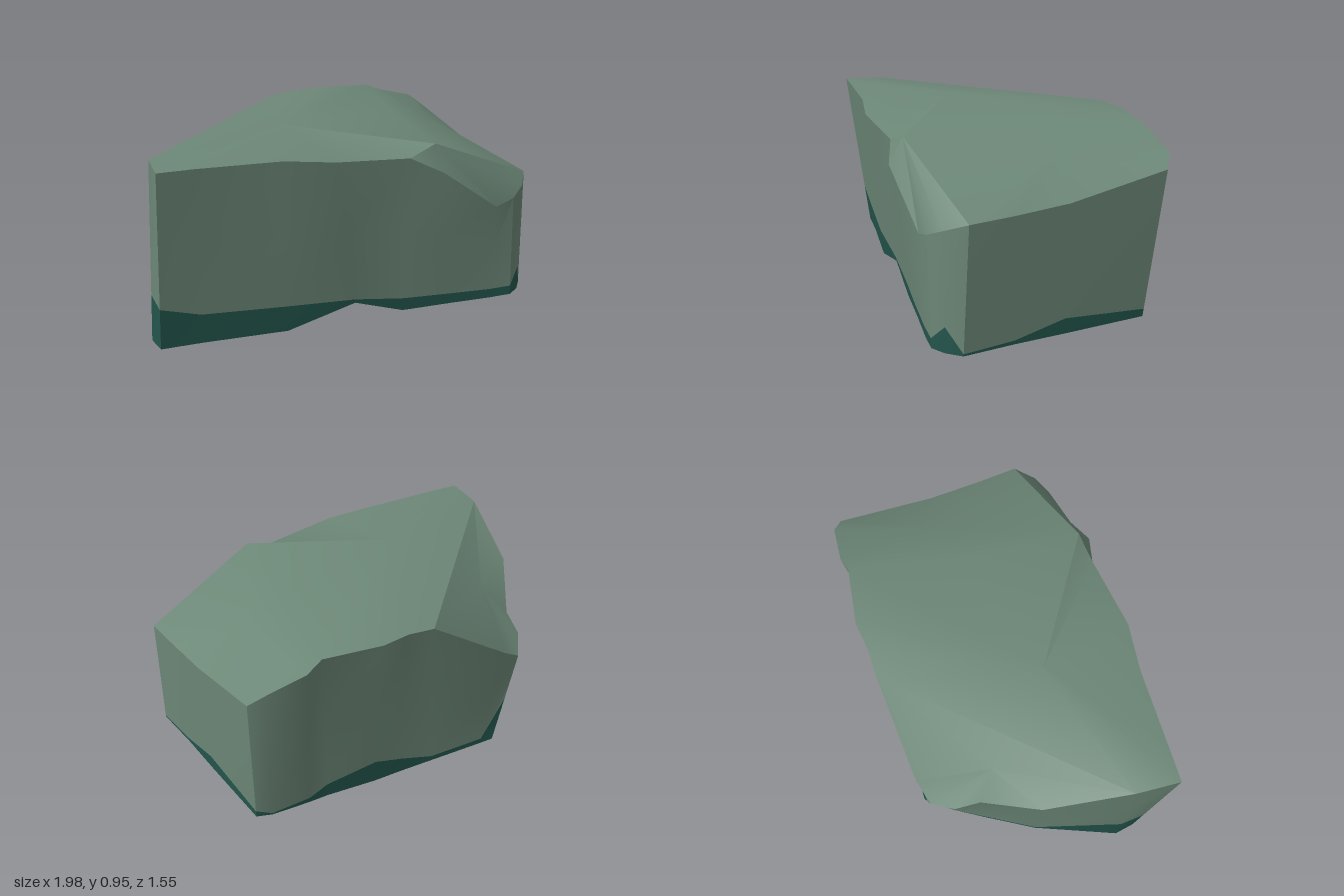
import * as THREE from 'three';
import { toCreasedNormals } from 'three/addons/utils/BufferGeometryUtils.js';

// Stations around the boulder, anticlockwise from the front left corner:
// rim x, y, z, foot x, z
const stations = [
  [-0.92, 0.925, 0.77, -0.95, 0.66],
  [-0.75, 0.925, 0.74, -0.75, 0.63],
  [-0.35, 0.915, 0.67, -0.33, 0.585],
  [-0.1, 0.89, 0.655, 0.02, 0.52],
  [0.28, 0.85, 0.535, 0.28, 0.47],
  [0.45, 0.77, 0.55, 0.55, 0.435],
  [0.77, 0.53, 0.43, 0.77, 0.41],
  [0.87, 0.56, 0.4, 0.89, 0.39],
  [0.94, 0.6, 0.33, 0.95, 0.33],
  [0.99, 0.64, 0.22, 0.99, 0.25],
  [0.92, 0.65, 0.0, 0.9, 0.0],
  [0.84, 0.67, -0.26, 0.82, -0.25],
  [0.7, 0.77, -0.75, 0.68, -0.67],
  [0.62, 0.83, -0.78, 0.6, -0.68],
  [0.42, 0.88, -0.75, 0.4, -0.65],
  [0.34, 0.92, -0.71, 0.3, -0.63],
  [0.04, 0.92, -0.69, 0.04, -0.6],
  [-0.1, 0.92, -0.64, -0.12, -0.57],
  [-0.24, 0.905, -0.61, -0.3, -0.54],
  [-0.7, 0.58, -0.48, -0.6, -0.49],
  [-0.81, 0.5, -0.42, -0.68, -0.475],
  [-0.86, 0.56, -0.3, -0.76, -0.32],
  [-0.85, 0.61, -0.17, -0.82, -0.15],
  [-0.95, 0.77, 0.12, -0.91, 0.12],
  [-0.95, 0.92, 0.55, -0.99, 0.56],
];
// Height of the dark band at each station
const bandHeight = [0.23, 0.17, 0.15, 0.12, 0.08, 0.07, 0.06, 0.06, 0.14, 0.02, 0.03, 0.09, 0.05,
  0.02, 0.04, 0.09, 0.15, 0.1, 0.04, 0.04, 0.25, 0.05, 0.04, 0.04, 0.25];
const notch = 3; // station where the front foot is lifted

const rim = stations.map(([x, y, z]) => [x, y, z]);
const foot = stations.map((s, i) => [s[3], i === notch ? 0.1 : 0.01, s[4]]);
const mix = (a, b, t) => a.map((v, k) => v + (b[k] - v) * t);
const band = foot.map((p, i) => mix(p, rim[i], (bandHeight[i] - p[1]) / (rim[i][1] - p[1])));
const middle = band.map((p, i) => mix(p, rim[i], 0.5));

// Wall between two closed rings
function wall(lower, upper) {
  return lower.flatMap((a, i) => {
    const j = (i + 1) % lower.length;
    return [a, lower[j], upper[j], a, upper[j], upper[i]];
  });
}

// Fan of triangles from a centre point along an open line
function openFan(centre, line) {
  return line.slice(1).flatMap((p, i) => [centre, line[i], p]);
}
const fan = (centre, loop) => openFan(centre, [...loop, loop[0]]);

function makePart(name, points, material) {
  const geometry = new THREE.BufferGeometry();
  geometry.setAttribute('position', new THREE.Float32BufferAttribute(points.flat(), 3));
  const mesh = new THREE.Mesh(toCreasedNormals(geometry, 0.5), material);
  mesh.name = name;
  return mesh;
}

export function createModel() {
  const stone = new THREE.MeshStandardMaterial({ color: 0x6c8777 });
  stone.name = 'grey green stone';
  const dark = new THREE.MeshStandardMaterial({ color: 0x23554c });
  dark.name = 'dark teal base';

  // Ridge between the flat top and the right slope
  const peak = [0.42, 0.9, 0.48];
  const ridge = [0.34, 0.915, -0.1];
  const group = new THREE.Group();
  group.name = 'boulder';
  group.add(
    makePart('stoneSides', [...wall(band, middle), ...wall(middle, rim)], stone),
    // Top: flat area, right slope, front right facet and broken back left corner
    makePart('stoneTop', [
      ...fan([-0.3, 0.955, 0.2], [rim[24], ...rim.slice(0, 5), peak, ridge, ...rim.slice(15, 19)]),
      ...fan([0.57, 0.845, -0.25], [peak, ...rim.slice(9, 16), ridge]),
      ...openFan(peak, rim.slice(4, 10)),
      ...fan([-0.72, 0.75, -0.1], rim.slice(18, 25)),
    ], stone),
    makePart('baseBand', wall(foot, band), dark),
    makePart('underside', fan([0.04, 0.005, 0.2], [...foot].reverse()), dark),
  );
  return group;
}
